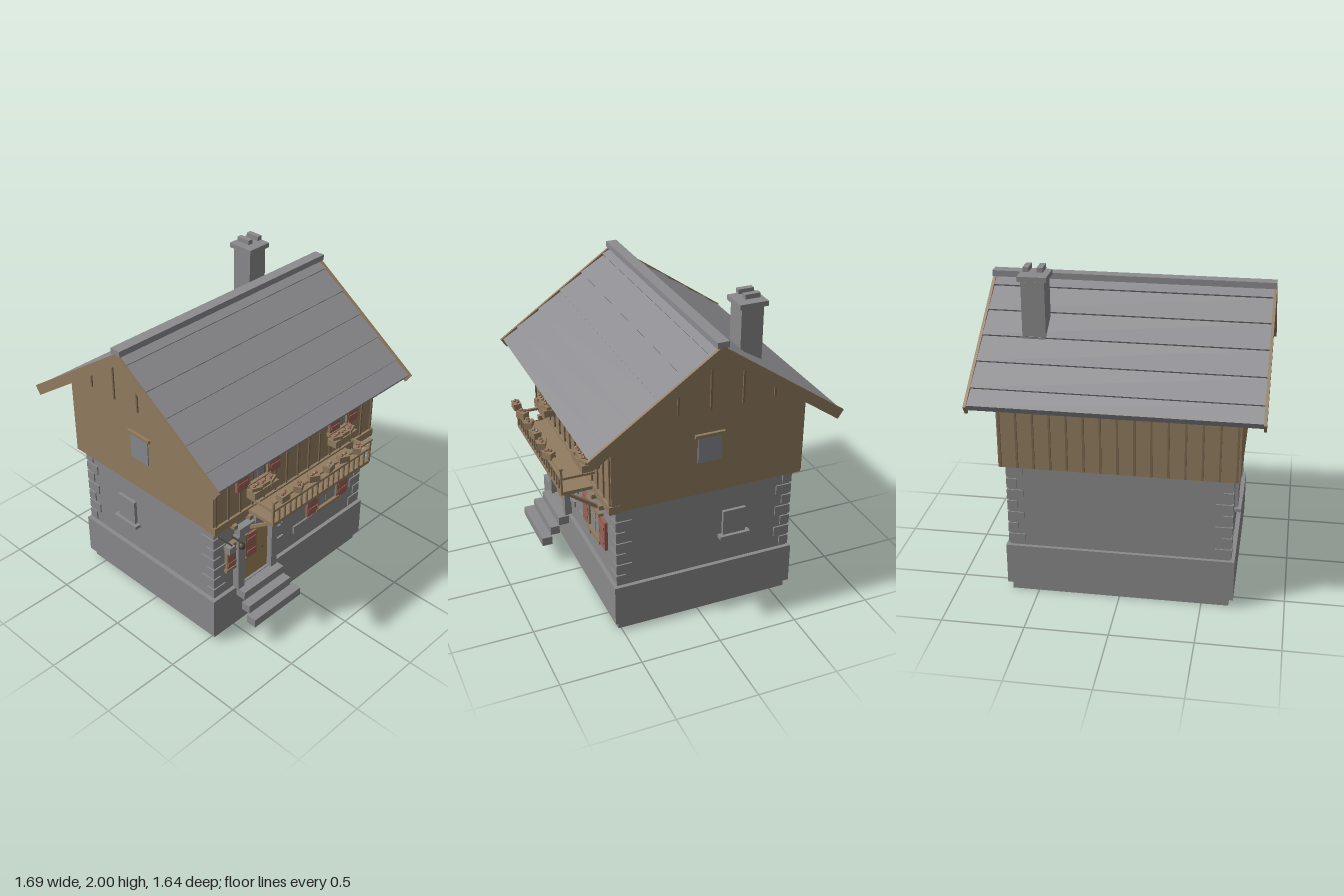
import * as THREE from 'three';

const mat = (name, color) => {
  const m = new THREE.MeshStandardMaterial({ color });
  m.name = name;
  return m;
};

export function createModel() {
  const stone = mat('stone', 0x8a8a8c);
  const slate = mat('slate', 0x8c8c90);
  const wood = mat('wood', 0x927c60);
  const batten = mat('batten wood', 0x7c6850);
  const doorWood = mat('door wood', 0x9c8258);
  const red = mat('shutter red', 0x985f56);
  const glass = mat('glass', 0x858a90);
  const dark = mat('dark metal', 0x4a4038);

  const house = new THREE.Group();
  house.name = 'house';
  const ZC = -0.04; // depth of the ridge line

  const add = (name, geo, m, parent = house) => {
    const mesh = new THREE.Mesh(geo, m);
    mesh.name = name;
    parent.add(mesh);
    return mesh;
  };
  const group = (name) => {
    const g = new THREE.Group();
    g.name = name;
    house.add(g);
    return g;
  };
  // Box given by its limits on each axis
  const box = (name, m, x0, x1, y0, y1, z0, z1, parent = house) => {
    const mesh = add(name, new THREE.BoxGeometry(x1 - x0, y1 - y0, z1 - z0), m, parent);
    mesh.position.set((x0 + x1) / 2, (y0 + y1) / 2, (z0 + z1) / 2);
    return mesh;
  };
  // Profile of [z, y] points extruded from x0 to x1
  const extrudeX = (name, m, pts, x0, x1, parent = house) => {
    const shape = new THREE.Shape(pts.map(([z, y]) => new THREE.Vector2(z, y)));
    const geo = new THREE.ExtrudeGeometry(shape, { depth: x1 - x0, bevelEnabled: false });
    geo.rotateY(-Math.PI / 2).translate(x1, 0, 0);
    return add(name, geo, m, parent);
  };

  // Stone ground floor and plinth
  box('stoneWalls', stone, -0.665, 0.665, 0, 0.86, -0.598, 0.518);
  box('plinth', stone, -0.693, 0.69, 0.055, 0.318, -0.62, 0.543);

  // Corner stones, alternating long and short
  const quoins = group('cornerStones');
  for (const sx of [-1, 1]) for (const sz of [-1, 1]) for (let i = 0; i < 7; i++) {
    const y = 0.33 + i * 0.075;
    const lx = i % 2 ? 0.06 : 0.1, lz = i % 2 ? 0.1 : 0.06;
    const xo = sx * 0.674, xi = sx * (0.674 - lx);
    const zo = ZC + sz * 0.566, zi = ZC + sz * (0.566 - lz);
    box('cornerStone', stone, Math.min(xo, xi), Math.max(xo, xi), y, y + 0.062,
      Math.min(zo, zi), Math.max(zo, zi), quoins);
  }

  // Loose facing stones on the front wall
  for (const [x0, x1, y0, y1] of [[-0.085, 0, 0.565, 0.6], [-0.16, -0.095, 0.51, 0.56],
    [-0.16, -0.07, 0.425, 0.465], [0.03, 0.22, 0.41, 0.465]])
    box('facingStone', stone, x0, x1, y0, y1, 0.5, 0.53);

  // Wooden upper floor with gables
  extrudeX('upperWalls', wood, [[-0.643, 0.86], [0.56, 0.86], [0.56, 1.36], [ZC, 1.79], [-0.643, 1.36]], -0.708, 0.705);
  box('floorBand', wood, -0.71, 0.708, 0.853, 0.905, 0.5, 0.575);
  for (let i = 0; i < 10; i++) {
    const x = -0.56 + i * 0.128;
    box('joistEnd', wood, x - 0.014, x + 0.014, 0.832, 0.86, 0.5, 0.598);
  }

  // Battens on front, back and gables
  const battens = group('battens');
  for (let i = 0; i < 15; i++) {
    const x = -0.69 + i * 0.0985;
    box('frontBatten', batten, x - 0.006, x + 0.006, 0.905, 1.35, 0.55, 0.568, battens);
    box('backBatten', batten, x - 0.006, x + 0.006, 0.865, 1.35, -0.652, -0.64, battens);
  }
  for (const sx of [-1, 1]) for (let i = -2; i <= 2; i++) {
    const z = ZC + i * 0.2;
    const top = 1.772 - Math.abs(i) * 0.2 * 0.692;
    box('gableBatten', batten, sx * 0.709 - 0.007, sx * 0.709 + 0.007, 1.41, top, z - 0.006, z + 0.006, battens);
  }

  // Roof slopes with stepped courses, and bargeboards at the ends
  const a = Math.atan2(0.54, 0.78);
  const slopePt = (side, run, t) => { // run: distance from the ridge in z, t: depth below the slope
    const z = run - t * Math.sin(a), y = 1.85 - run * Math.tan(a) - t * Math.cos(a);
    return [ZC + side * z, y];
  };
  for (const side of [1, -1]) {
    const pts = [slopePt(side, 0, 0.015)];
    for (const r of [0.07, 0.22, 0.37, 0.52, 0.67]) pts.push(slopePt(side, r, 0.002), slopePt(side, r, 0.014));
    pts.push(slopePt(side, 0.768, 0.005), slopePt(side, 0.768, 0.052), [ZC, 1.787]);
    extrudeX('roofSlope', slate, pts, -0.828, 0.825);
    const board = [[ZC, 1.85], slopePt(side, 0.78, 0), slopePt(side, 0.78, 0.064), [ZC, 1.772]];
    extrudeX('bargeboard', wood, board, -0.845, -0.828);
    extrudeX('bargeboard', wood, board, 0.825, 0.842);
  }
  box('ridgeCap', slate, -0.845, 0.842, 1.838, 1.875, -0.075, -0.005);

  // Chimney
  const chimney = group('chimney');
  box('shaft', stone, 0.45, 0.588, 1.5, 1.918, -0.407, -0.27, chimney);
  box('cap', stone, 0.434, 0.604, 1.925, 1.955, -0.427, -0.252, chimney);
  for (const x of [0.478, 0.56])
    box('chimneyPot', stone, x - 0.017, x + 0.017, 1.972, 2, -0.387, -0.293, chimney);

  // Front windows: frame, glass, glazing bars and shutters
  const frontWindow = (name, x, y0, y1, z, hw, leftClosed) => {
    const g = group(name), f = 0.014;
    box('glass', glass, x - hw + f, x + hw - f, y0 + f, y1 - f, z - 0.01, z + 0.006, g);
    for (const s of [-1, 1]) {
      const e = x + s * (hw - f / 2);
      box('frameSide', wood, e - f / 2, e + f / 2, y0, y1, z - 0.01, z + 0.02, g);
    }
    box('frameTop', wood, x - hw - 0.015, x + hw + 0.015, y1 - f, y1 + 0.012, z - 0.01, z + 0.026, g);
    box('sill', wood, x - hw - 0.01, x + hw + 0.01, y0 - 0.008, y0 + f, z - 0.01, z + 0.026, g);
    box('bar', doorWood, x - 0.004, x + 0.004, y0, y1, z, z + 0.009, g);
    box('bar', doorWood, x - hw, x + hw, (y0 + y1) / 2 - 0.004, (y0 + y1) / 2 + 0.004, z, z + 0.009, g);
    const shutter = (x0) => {
      box('shutter', red, x0, x0 + 0.092, y0, y1 - 0.006, z, z + 0.02, g);
      for (const k of [0.25, 0.75]) {
        const y = y0 + (y1 - y0) * k;
        box('shutterRail', red, x0 + 0.008, x0 + 0.084, y - 0.009, y + 0.009, z, z + 0.025, g);
      }
    };
    shutter(leftClosed ? x - hw : x - hw - 0.094);
    shutter(x + hw + 0.002);
  };
  frontWindow('upperLeftWindow', -0.355, 1.065, 1.26, 0.56, 0.085, false);
  frontWindow('upperRightWindow', 0.355, 1.065, 1.26, 0.56, 0.085, true);
  frontWindow('lowerLeftWindow', -0.5, 0.49, 0.67, 0.522, 0.078, true);
  frontWindow('lowerRightWindow', 0.333, 0.485, 0.685, 0.522, 0.1, false);

  // Side windows on both gable ends
  for (const s of [-1, 1]) {
    const g = group('sideWindows');
    const plate = (name, m, xo, y0, y1, z0, z1) =>
      box(name, m, s > 0 ? 0.6 : -xo, s > 0 ? xo : -0.6, y0, y1, z0, z1, g);
    plate('upperGlass', glass, 0.715, 1.075, 1.24, -0.11, 0.035);
    plate('upperHood', wood, 0.724, 1.24, 1.26, -0.13, 0.055);
    plate('lowerWindow', stone, 0.685, 0.515, 0.68, -0.3, -0.152);
    plate('lowerSill', stone, 0.706, 0.495, 0.516, -0.325, -0.127);
  }

  // Door with stone surround and steps
  const door = group('door');
  box('doorLeaf', doorWood, -0.45, -0.215, 0.318, 0.715, 0.51, 0.526, door);
  box('jamb', stone, -0.505, -0.45, 0.31, 0.715, 0.51, 0.563, door);
  box('jamb', stone, -0.215, -0.165, 0.31, 0.715, 0.51, 0.563, door);
  box('lintel', stone, -0.495, -0.18, 0.712, 0.768, 0.51, 0.563, door);
  box('keystone', stone, -0.365, -0.3, 0.75, 0.79, 0.51, 0.568, door);
  const knob = add('knob', new THREE.SphereGeometry(0.008, 8, 6), dark, door);
  knob.position.set(-0.268, 0.495, 0.53);
  [[-0.537, -0.132, 0.14, 0.668, 0.735], [-0.52, -0.152, 0.197, 0.61, 0.67], [-0.5, -0.155, 0.256, 0.54, 0.612]]
    .forEach(([x0, x1, y, z0, z1]) => box('step', stone, x0, x1, y, y + 0.057, z0, z1));

  // Hanging lantern by the door and lamp at the corner
  const lantern = add('lantern', new THREE.IcosahedronGeometry(0.022, 1), dark);
  lantern.position.set(-0.512, 0.68, 0.598);
  box('lanternArm', dark, -0.516, -0.508, 0.7, 0.708, 0.52, 0.602);
  box('cornerLamp', stone, -0.658, -0.612, 0.72, 0.768, 0.598, 0.642);
  box('lampArm', dark, -0.638, -0.63, 0.775, 0.783, 0.51, 0.636);

  // Balcony: floor, struts, balusters and rails
  const balcony = group('balcony');
  box('deck', wood, -0.435, 0.435, 0.872, 0.893, 0.56, 0.765, balcony);
  for (const x of [-0.4, 0, 0.4])
    extrudeX('strut', wood, [[0.755, 0.872], [0.73, 0.872], [0.54, 0.737], [0.54, 0.712]], x - 0.011, x + 0.011, balcony);
  for (let i = 0; i <= 18; i++) {
    const x = -0.428 + i * 0.0476;
    box('baluster', wood, x - 0.006, x + 0.006, 0.89, 0.98, 0.755, 0.765, balcony);
  }
  box('frontRail', wood, -0.44, 0.44, 0.975, 0.99, 0.75, 0.768, balcony);
  box('planterRail', wood, -0.44, 0.44, 1.04, 1.052, 0.752, 0.775, balcony);
  for (const s of [-1, 1]) {
    const x = s * 0.432;
    box('sideRail', wood, x - 0.007, x + 0.007, 0.975, 0.99, 0.56, 0.76, balcony);
    box('post', wood, x - 0.007, x + 0.007, 0.885, 1.05, 0.756, 0.768, balcony);
  }

  // Flower pots on the rail and in front of the upper windows
  const pot = (x, y, z, turn, bloom) => {
    const g = group('flowerPot');
    g.position.set(x, y, z);
    g.rotation.y = turn;
    box('pot', wood, -0.033, 0.033, 0, 0.042, -0.024, 0.024, g);
    [[-0.014, 0.046, 0.006], [0.014, 0.05, -0.004], [0, 0.057, 0.008]].forEach(([bx, by, bz], i) => {
      const f = add('bloom', new THREE.IcosahedronGeometry(0.011, 0), i < 2 ? bloom : wood, g);
      f.position.set(bx, by, bz);
    });
  };
  [-0.375, -0.245, -0.115, 0.018, 0.148, 0.278].forEach((x, i) =>
    pot(x, 1.045, 0.783, [0, 0.5, -0.5, 0.2, -0.4, 0.6][i], i === 3 ? slate : red));
  for (const wx of [-0.355, 0.355]) {
    box('windowBox', wood, wx - 0.1, wx + 0.1, 1.005, 1.05, 0.575, 0.642);
    for (const d of [-0.06, 0, 0.06]) pot(wx + d, 1.03, 0.61, d * 6, red);
  }
  return house;
}
